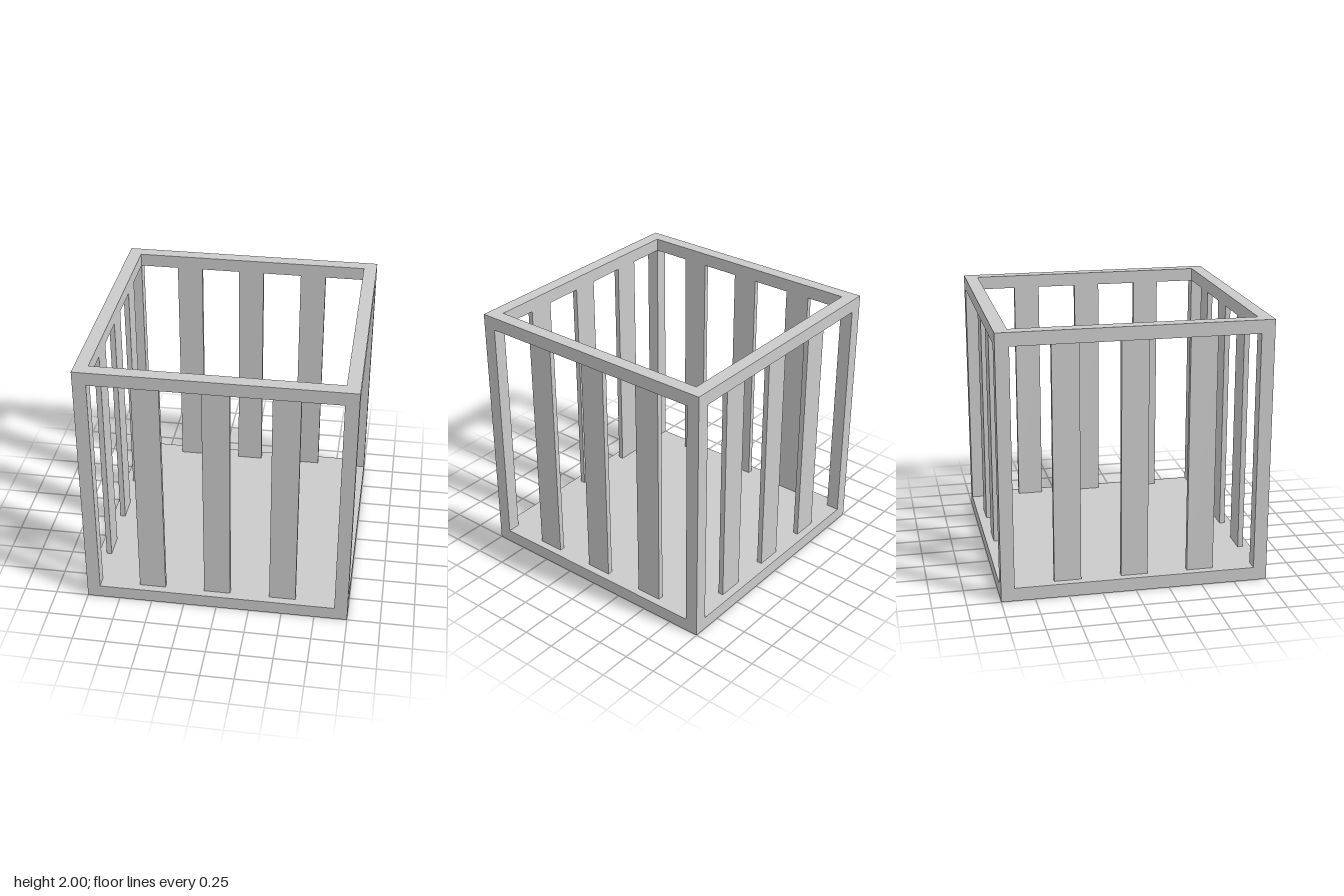
import * as THREE from 'three';

export function createModel() {
  const model = new THREE.Group();
  model.name = 'slattedCrate';
  const material = new THREE.MeshStandardMaterial({ color: 0xcccccc, flatShading: true });

  const size = 2, beam = 0.1, inner = size - 2 * beam;
  const slatWidth = 0.2, slatDepth = 0.04;

  function box(name, w, h, d, x, y, z, parent = model) {
    const mesh = new THREE.Mesh(new THREE.BoxGeometry(w, h, d), material);
    mesh.name = name;
    mesh.position.set(x, y, z);
    parent.add(mesh);
  }

  // Solid floor
  box('floor', size, beam, size, 0, beam / 2, 0);

  // Corner posts between the floor and the top rim
  const edge = (size - beam) / 2;
  for (const x of [-edge, edge])
    for (const z of [-edge, edge]) box('cornerPost', beam, inner, beam, x, size / 2, z);

  // Top rim as one mitre-free square ring
  const half = size / 2, hole = inner / 2;
  const square = (r) => [[-r, -r], [r, -r], [r, r], [-r, r]].map(([x, y]) => new THREE.Vector2(x, y));
  const ring = new THREE.Shape(square(half));
  ring.holes.push(new THREE.Path(square(hole).reverse()));
  const rimGeometry = new THREE.ExtrudeGeometry(ring, { depth: beam, bevelEnabled: false });
  rimGeometry.rotateX(-Math.PI / 2);
  const rim = new THREE.Mesh(rimGeometry, material);
  rim.name = 'topRim';
  rim.position.y = size - beam;
  model.add(rim);

  // Three thin slats per side, flush with the inside of the frame
  ['front', 'left', 'back', 'right'].forEach((side, i) => {
    const wall = new THREE.Group();
    wall.name = side + 'Slats';
    wall.rotation.y = (i * Math.PI) / 2;
    for (const x of [-0.5, 0, 0.5])
      box('slat', slatWidth, inner, slatDepth, x, size / 2, hole + slatDepth / 2, wall);
    model.add(wall);
  });

  return model;
}
